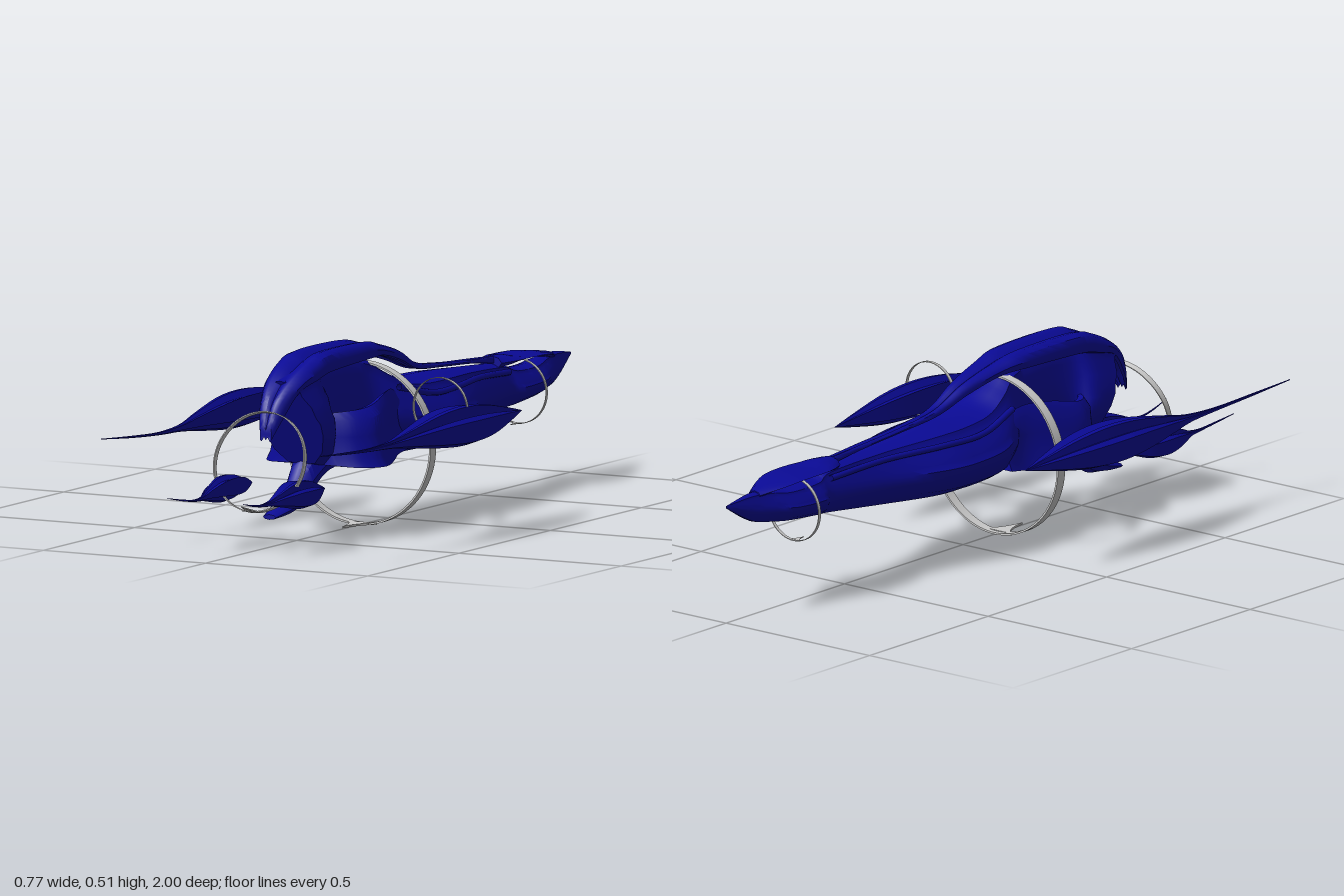
import * as THREE from 'three';
import { toCreasedNormals } from 'three/addons/utils/BufferGeometryUtils.js';

const BLUE = new THREE.MeshStandardMaterial({ color: 0x0a0a96, side: THREE.DoubleSide });
const GREY = new THREE.MeshStandardMaterial({ color: 0xcccccc, side: THREE.DoubleSide });

// Smoothly resample rows of station values
function resample(rows, n) {
  const curves = rows[0].map((_, k) =>
    new THREE.SplineCurve(rows.map((r, i) => new THREE.Vector2(i, r[k]))));
  return Array.from({ length: n + 1 }, (_, i) => curves.map(c => c.getPoint(i / n).y));
}

// Skin closed rings of [x, y, z], counter-clockwise seen from +z, with end caps
function loft(rings, crease = 0.7) {
  const m = rings[0].length, pos = rings.flat(2), idx = [];
  for (let i = 0; i < rings.length - 1; i++) {
    for (let j = 0; j < m; j++) {
      const a = i * m + j, b = i * m + (j + 1) % m;
      idx.push(a, b, b + m, a, b + m, a + m);
    }
  }
  [0, rings.length - 1].forEach((r, end) => {
    const c = pos.length / 3;
    for (let k = 0; k < 3; k++) pos.push(rings[r].reduce((s, p) => s + p[k], 0) / m);
    for (let j = 0; j < m; j++) {
      const a = r * m + j, b = r * m + (j + 1) % m;
      idx.push(c, ...(end ? [a, b] : [b, a]));
    }
  });
  const g = new THREE.BufferGeometry();
  g.setAttribute('position', new THREE.Float32BufferAttribute(pos, 3));
  g.setIndex(idx);
  return toCreasedNormals(g.toNonIndexed(), crease);
}

// Full ring from the right half of a profile running bottom to top on x = 0
const symmetric = half => [...half, ...half.slice(1, -1).reverse().map(([x, y]) => [-x, y])];
const flip = rings => rings.map(r => r.map(([x, y, z]) => [-x, y, z]).reverse());

// Stations [z, halfWidth, bottom, top, shear] skinned with a unit half profile
function body(stations, half, n = 60) {
  const unit = symmetric(half);
  return loft(resample(stations, n).map(([z, w, lo, hi, shear = 0]) => unit.map(([u, v]) => {
    const y = lo + (hi - lo) * v;
    return [u * Math.max(w, 0.001), y, z + shear * (y - 0.33)];
  })));
}

const HULL = [[0, 0], [0.45, 0.02], [0.8, 0.16], [0.98, 0.36], [1, 0.5], [0.9, 0.58],
  [0.84, 0.7], [0.62, 0.82], [0.56, 0.92], [0.25, 0.98], [0, 1]];
const LENS = [[0, 0], [0.7, 0.15], [1, 0.5], [0.7, 0.85], [0, 1]];
const GULL = [[0, 0.1], [0.35, 0.3], [0.7, 0.25], [0.72, 0], [0.95, 0.1],
  [1, 0.5], [0.85, 0.85], [0.55, 1], [0.25, 0.93], [0, 0.7]];
const POD = [[0.052, 0.016], [0.037, 0.026], [0.022, 0.021], [0.017, 0.051], [0.002, 0.053],
  [-0.013, 0.036], [-0.048, 0.046], [-0.053, -0.019], [-0.028, -0.019], [-0.013, -0.014],
  [-0.003, -0.044], [0.017, -0.052], [0.052, -0.039]];

// Spindle pod with a whip tail: nose z, length factor, thickness factor, centre
function podRings(z0, len, size, cx, cy) {
  const rows = [[0, 0.01, 0, 0], [0.09, 0.38, 0, 0], [0.22, 0.83, 0, 0], [0.34, 1, 0, 0],
    [0.46, 0.87, 0, 0], [0.6, 0.48, -0.003, -0.004], [0.7, 0.2, -0.008, -0.008],
    [0.82, 0.09, -0.01, -0.008], [0.96, 0.06, -0.005, 0], [1.11, 0.02, 0.005, 0.012]];
  return resample(rows, 40).map(([z, s, dx, dy]) =>
    POD.map(([x, y]) => [cx + dx + x * s * size, cy + dy + y * s * size, z0 + z * len]));
}

// Side shell stations: [z, inner x, outer x, bottom, top]
function shellRings() {
  const rows = [[0.07, 0.06, 0.108, 0.22, 0.36], [0.14, 0.08, 0.108, 0.21, 0.385],
    [0.22, 0.102, 0.14, 0.206, 0.385], [0.3, 0.112, 0.17, 0.204, 0.37],
    [0.35, 0.1, 0.172, 0.204, 0.36], [0.4, 0.07, 0.135, 0.205, 0.355], [0.43, 0.035, 0.075, 0.21, 0.35]];
  return resample(rows, 30).map(([z, a, b, lo, hi]) => {
    const w = b - a, h = hi - lo;
    return [[a + 0.3 * w, lo], [b + 0.005, lo], [b - 0.1 * w, lo + 0.15 * h], [b - 0.28 * w, lo + 0.55 * h],
      [b - 0.35 * w, lo + 0.85 * h], [a + 0.3 * w, hi], [a, hi - 0.03 * h], [a + 0.1 * w, lo + 0.4 * h]]
      .map(([x, y]) => [x, y, z]);
  });
}

// Flat hoop around z with a pointed fin at its lowest point
function hoop(name, r, width, thick, x, y, z, tilt = 0) {
  const g = new THREE.Group();
  g.name = name;
  const t = thick / 2, w = width / 2;
  const section = [[r - t, -w], [r + t, -w], [r + t, w], [r - t, w], [r - t, -w]]
    .map(([a, b]) => new THREE.Vector2(a, b));
  const band = toCreasedNormals(new THREE.LatheGeometry(section, 80).rotateX(Math.PI / 2), 0.6);
  const shape = new THREE.Shape();
  shape.moveTo(-0.22 * r, 0);
  shape.quadraticCurveTo(-0.05 * r, 0.1 * r, 0, 0.47 * r);
  shape.quadraticCurveTo(0.05 * r, 0.1 * r, 0.22 * r, 0);
  const fin = new THREE.ExtrudeGeometry(shape, { depth: 0.025 * r, bevelEnabled: false, curveSegments: 10 });
  fin.rotateX(Math.PI / 2).translate(0, -r + 0.022 * r, 0);
  [[band, 'Band'], [fin, 'Fin']].forEach(([geo, part]) => {
    const mesh = new THREE.Mesh(geo, GREY);
    mesh.name = name + part;
    g.add(mesh);
  });
  g.position.set(x, y, z);
  g.rotation.x = tilt;
  return g;
}

export function createModel() {
  const model = new THREE.Group();
  model.name = 'spaceship';
  const add = (name, geo) => {
    const mesh = new THREE.Mesh(geo, BLUE);
    mesh.name = name;
    model.add(mesh);
  };
  const pair = (name, rings) => {
    add(name + 'Left', loft(rings));
    add(name + 'Right', loft(flip(rings)));
  };

  // Main hull: needle nose, broad shoulders, narrow waist and slanted stern
  add('hull', body([
    [-1, 0.001, 0.332, 0.338, 0], [-0.9, 0.024, 0.275, 0.352, 0], [-0.82, 0.045, 0.258, 0.347, 0],
    [-0.76, 0.06, 0.25, 0.338, 0], [-0.65, 0.062, 0.24, 0.34, 0], [-0.59, 0.047, 0.233, 0.358, 0],
    [-0.4, 0.075, 0.213, 0.373, 0], [-0.2, 0.138, 0.198, 0.385, 0], [-0.08, 0.145, 0.195, 0.388, 0],
    [0.02, 0.136, 0.195, 0.4, 0], [0.1, 0.108, 0.197, 0.435, 0], [0.18, 0.062, 0.2, 0.475, 0],
    [0.3, 0.048, 0.195, 0.49, 0], [0.4, 0.055, 0.19, 0.49, 0.1], [0.45, 0.09, 0.2, 0.48, 0.25],
    [0.53, 0.092, 0.215, 0.455, 0.5]], HULL, 90));

  // Raised halo over the nose
  add('noseHalo', body([[-0.88, 0.02, 0.335, 0.355], [-0.81, 0.05, 0.35, 0.366], [-0.75, 0.063, 0.36, 0.372],
    [-0.66, 0.064, 0.361, 0.374], [-0.61, 0.055, 0.352, 0.38], [-0.56, 0.035, 0.345, 0.382]], LENS, 30));

  // Arched spine with curled edges, ending in a rear hook
  add('spine', body([
    [-0.6, 0.01, 0.355, 0.378], [-0.45, 0.015, 0.375, 0.387], [-0.28, 0.016, 0.387, 0.398],
    [-0.13, 0.02, 0.4, 0.418], [-0.02, 0.034, 0.436, 0.465], [0.1, 0.05, 0.465, 0.497],
    [0.2, 0.065, 0.468, 0.516], [0.42, 0.07, 0.46, 0.518], [0.5, 0.068, 0.445, 0.498],
    [0.58, 0.055, 0.42, 0.46], [0.64, 0.036, 0.35, 0.41], [0.67, 0.018, 0.3, 0.345]], GULL));

  // Keel prong under the stern
  add('keelProng', body([[0.2, 0.05, 0.197, 0.26], [0.38, 0.05, 0.18, 0.26], [0.46, 0.043, 0.135, 0.24],
    [0.52, 0.032, 0.1, 0.17], [0.58, 0.034, 0.09, 0.13], [0.65, 0.02, 0.086, 0.1]], LENS, 30));

  // Flared side shells and pods
  pair('sideShell', shellRings());
  pair('sidePod', podRings(-0.14, 1, 1, 0.333, 0.309));
  pair('sternPod', podRings(0.545, 0.41, 0.71, 0.112, 0.167));

  // Long strakes along the upper hull
  for (const s of [1, -1]) {
    const path = new THREE.CatmullRomCurve3([[0.035, 0.335, -0.6], [0.058, 0.347, -0.4],
      [0.1, 0.35, -0.2], [0.112, 0.353, -0.05], [0.09, 0.385, 0.1]]
      .map(([x, y, z]) => new THREE.Vector3(s * x, y, z)));
    add('strake' + (s > 0 ? 'Left' : 'Right'), new THREE.TubeGeometry(path, 40, 0.009, 8));
  }

  // Grey hoops
  model.add(hoop('mainHoop', 0.22, 0.03, 0.005, 0, 0.234, 0.147));
  model.add(hoop('sternHoop', 0.137, 0.016, 0.003, 0, 0.249, 0.702, -0.32));
  model.add(hoop('noseHoop', 0.088, 0.01, 0.002, 0, 0.268, -0.712));
  model.add(hoop('podHoop', 0.083, 0.01, 0.002, 0.266, 0.35, 0.185));
  return model;
}
